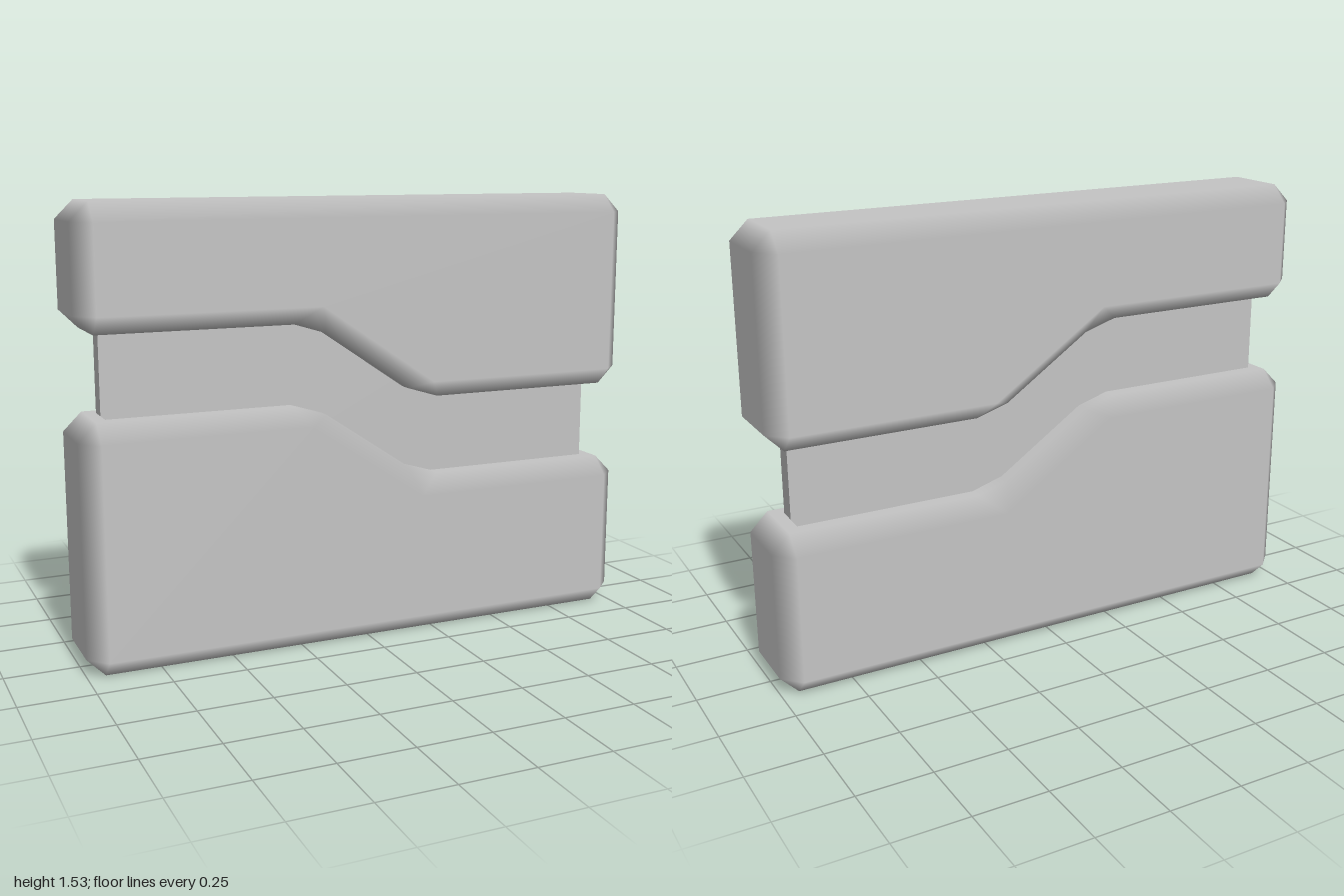
import * as THREE from 'three';

const BEVEL = 0.062;
const HALF_DEPTH = 0.17;

// Slab cut from a counter-clockwise outline, every edge bevelled once.
// Flat faces keep flat normals; the bevels blend between them.
function bevelledSlab(corners) {
  const pts = corners.map(([x, y]) => new THREE.Vector2(x, y));
  const n = pts.length;
  const dirs = pts.map((p, i) => pts[(i + 1) % n].clone().sub(p).normalize());
  const outs = dirs.map((d) => new THREE.Vector2(d.y, -d.x));
  const pos = [], nor = [], idx = [];
  const inner = [];

  // Rings: per corner and side, the two split points and the inset face corner
  for (const s of [1, -1]) {
    for (let i = 0; i < n; i++) {
      const h = (i + n - 1) % n;
      const a = pts[i].clone().addScaledVector(dirs[h], -BEVEL);
      const b = pts[i].clone().addScaledVector(dirs[i], BEVEL);
      const k = -BEVEL / (1 + outs[h].dot(outs[i]));
      const c = pts[i].clone().addScaledVector(outs[h], k).addScaledVector(outs[i], k);
      if (s > 0) inner.push(c);
      const z = s * (HALF_DEPTH - BEVEL);
      pos.push(a.x, a.y, z, b.x, b.y, z, c.x, c.y, s * HALF_DEPTH);
      nor.push(outs[h].x, outs[h].y, 0, outs[i].x, outs[i].y, 0, 0, 0, s);
    }
  }
  const A = (i, back) => (back * n + (i % n)) * 3;
  const B = (i, back) => A(i, back) + 1;
  const C = (i, back) => A(i, back) + 2;
  const tri = (a, b, c, flip) => (flip ? idx.push(a, c, b) : idx.push(a, b, c));
  const quad = (a, b, c, d, flip) => { tri(a, b, c, flip); tri(a, c, d, flip); };

  for (let i = 0; i < n; i++) {
    // Straight side and split corner
    quad(B(i, 1), A(i + 1, 1), A(i + 1, 0), B(i, 0));
    quad(A(i, 1), B(i, 1), B(i, 0), A(i, 0));
    // Bevels to the front and back faces
    for (const back of [0, 1]) {
      quad(B(i, back), A(i + 1, back), C(i + 1, back), C(i, back), back);
      tri(A(i, back), B(i, back), C(i, back), back);
    }
  }
  // Front and back faces
  for (const [a, b, c] of THREE.ShapeUtils.triangulateShape(inner, [])) {
    for (const back of [0, 1]) tri(C(a, back), C(b, back), C(c, back), back);
  }

  const geo = new THREE.BufferGeometry();
  geo.setAttribute('position', new THREE.Float32BufferAttribute(pos, 3));
  geo.setAttribute('normal', new THREE.Float32BufferAttribute(nor, 3));
  geo.setIndex(idx);
  return geo;
}

// Half of the core plate; its ends are shaded as one with its broad face.
function coreHalf(side) {
  const geo = new THREE.BoxGeometry(1.795, 0.9, 0.063);
  const normal = geo.attributes.normal;
  for (let i = 0; i < 8; i++) normal.setXYZ(i, 0, 0, side);
  geo.translate(-0.002, 0.84, side * 0.0315);
  return geo;
}

export function createModel() {
  const group = new THREE.Group();
  const grey = new THREE.MeshStandardMaterial({ color: 0xc4c4c4 });
  grey.name = 'plain grey';

  const add = (name, geo) => {
    const mesh = new THREE.Mesh(geo, grey);
    mesh.name = name;
    group.add(mesh);
  };

  add('lowerSlab', bevelledSlab([
    [-1, 0], [1, 0], [1, 0.563], [0.205, 0.563], [-0.205, 0.84], [-1, 0.84],
  ]));
  add('upperSlab', bevelledSlab([
    [-1, 1.118], [-0.205, 1.118], [0.205, 0.84], [1, 0.84], [1, 1.53], [-1, 1.53],
  ]));
  add('coreFront', coreHalf(1));
  add('coreBack', coreHalf(-1));
  return group;
}
